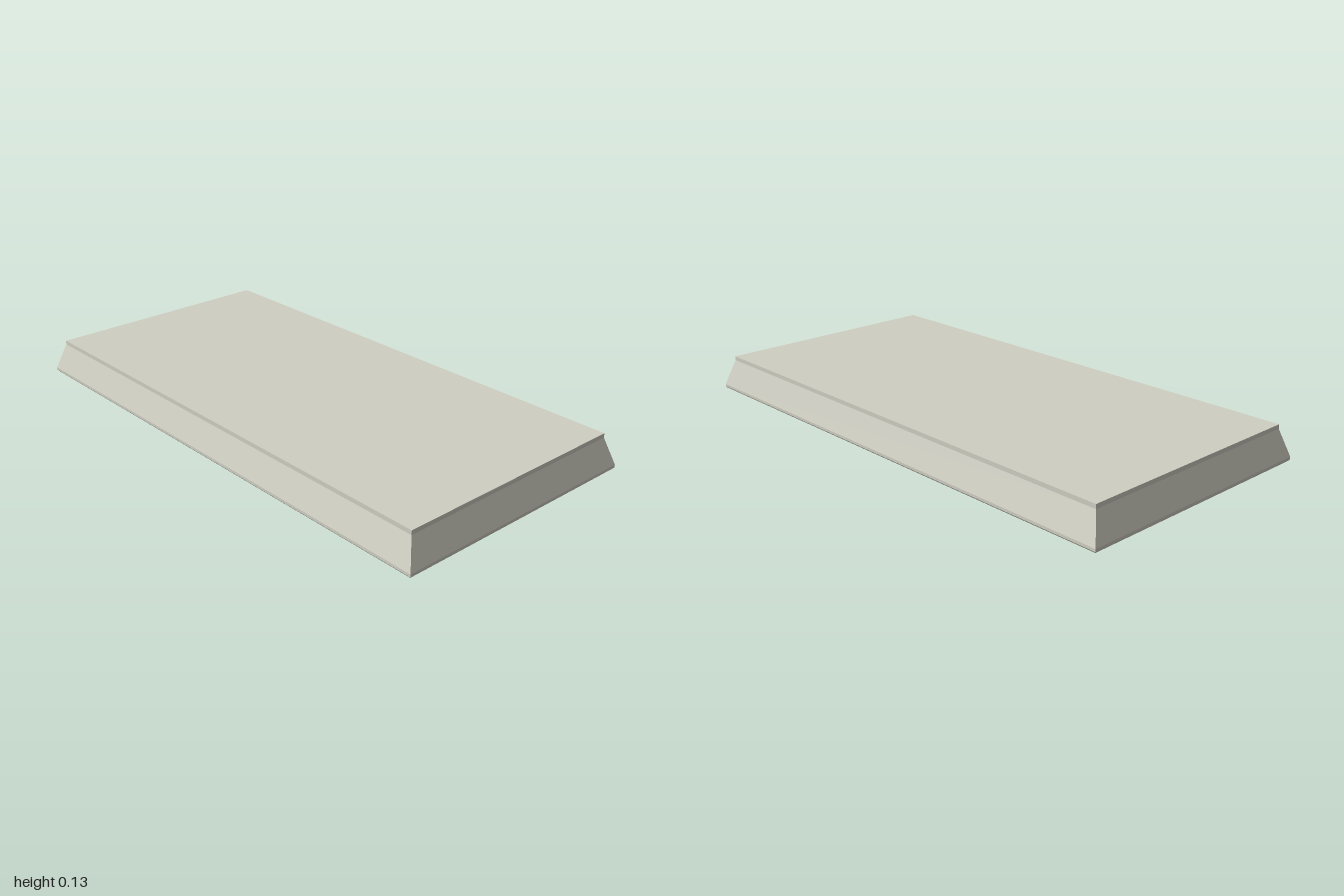
import * as THREE from 'three';

// Lofts rectangular rings [halfX, halfZ, y] into a mitred shell, optionally closing the ends.
function loftRects(rings, capStart, capEnd) {
  const pos = [];
  const corners = ([x, z, y]) => [[x, y, z], [x, y, -z], [-x, y, -z], [-x, y, z]];
  const quad = (a, b, c, d) => pos.push(...a, ...b, ...c, ...a, ...c, ...d);
  for (let i = 0; i < rings.length - 1; i++) {
    const lo = corners(rings[i]);
    const hi = corners(rings[i + 1]);
    for (let k = 0; k < 4; k++) {
      const n = (k + 1) % 4;
      quad(lo[k], lo[n], hi[n], hi[k]);
    }
  }
  if (capStart) quad(...corners(rings[0]).reverse());
  if (capEnd) quad(...corners(rings[rings.length - 1]));
  const geo = new THREE.BufferGeometry();
  geo.setAttribute('position', new THREE.Float32BufferAttribute(pos, 3));
  geo.computeVertexNormals();
  return geo;
}

export function createModel() {
  const group = new THREE.Group();
  group.name = 'slab';
  const stone = new THREE.MeshStandardMaterial({ color: 0xd0cfc3 });
  stone.name = 'paleStone';

  const add = (name, geo, x = 0, y = 0, z = 0) => {
    const mesh = new THREE.Mesh(geo, stone);
    mesh.name = name;
    mesh.position.set(x, y, z);
    group.add(mesh);
  };

  const recess = 0.012;
  const innerX = 0.955;
  const innerZ = 0.455;

  // Recessed underside, bottom rim, sloped sides, upright lip and flat top
  add('slabBody', loftRects([
    [innerX, innerZ, recess],
    [innerX, innerZ, 0],
    [0.996, 0.496, 0],
    [1, 0.5, 0.005],
    [1, 0.5, 0.015],
    [0.966, 0.466, 0.117],
    [0.966, 0.466, 0.133],
  ], true, true));

  // Ribs under the slab: one lengthwise, two crosswise
  const ribWidth = 0.024;
  const ribHeight = recess - 0.002;
  const ribY = recess - ribHeight / 2;
  add('lengthRib', new THREE.BoxGeometry(innerX * 2, ribHeight, ribWidth), 0, ribY, 0);
  for (const side of [-1, 1]) {
    add('crossRib', new THREE.BoxGeometry(ribWidth, ribHeight, innerZ * 2), side * 0.5, ribY, 0);
  }
  return group;
}
